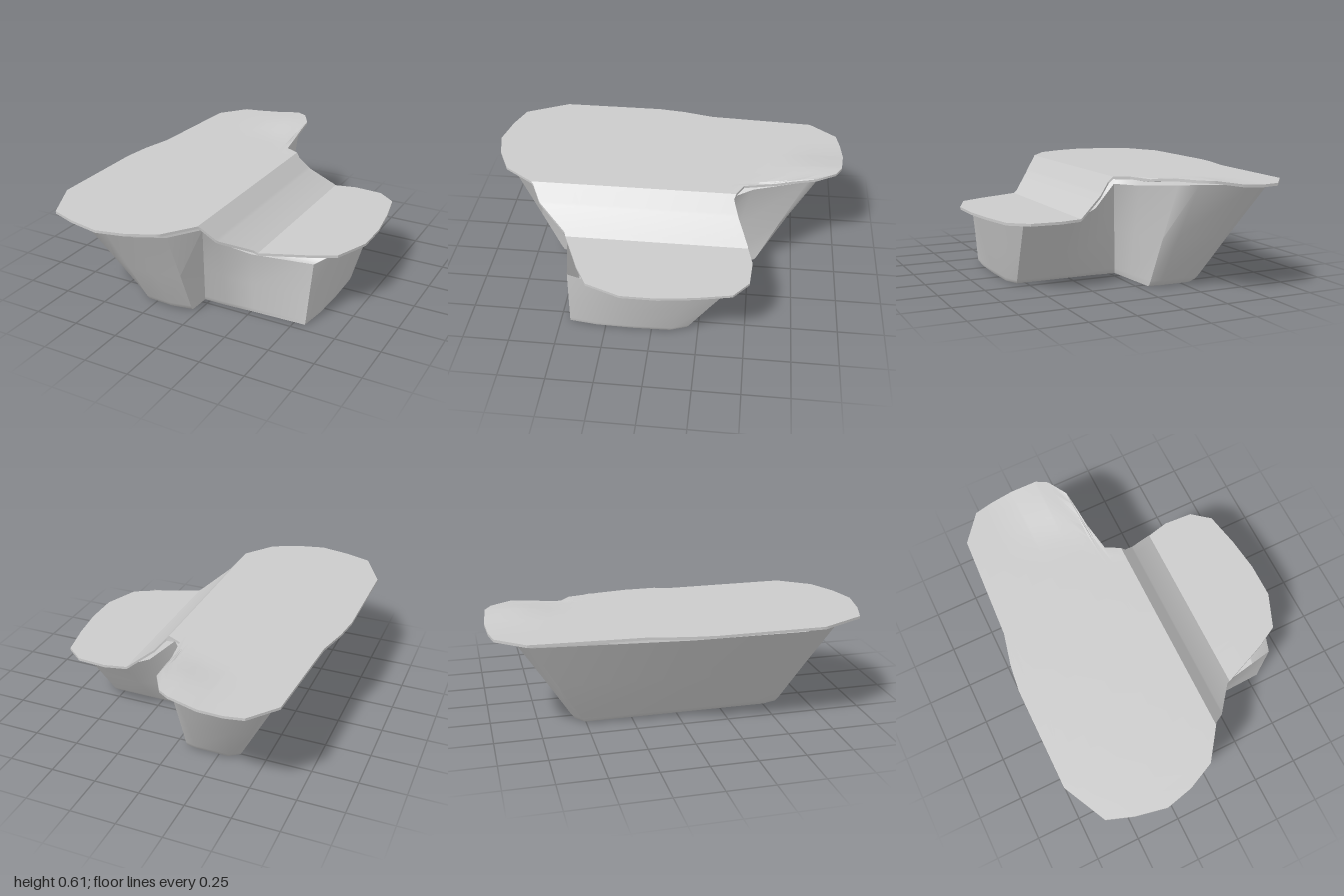
import * as THREE from 'three';
import { toCreasedNormals } from 'three/addons/utils/BufferGeometryUtils.js';

const material = new THREE.MeshStandardMaterial({ color: 0xcccccc, side: THREE.DoubleSide });

// Piecewise linear lookup along a list of [x, value] points
function lookup(line, x) {
  if (x <= line[0][0]) return line[0][1];
  for (let i = 1; i < line.length; i++) {
    const [x0, a] = line[i - 1], [x1, b] = line[i];
    if (x <= x1) return a + (b - a) * (x - x0) / (x1 - x0);
  }
  return line[line.length - 1][1];
}

function makeMesh(name, positions, index, crease) {
  const geometry = new THREE.BufferGeometry();
  geometry.setAttribute('position', new THREE.Float32BufferAttribute(positions, 3));
  geometry.setIndex(index);
  const mesh = new THREE.Mesh(toCreasedNormals(geometry, crease), material);
  mesh.name = name;
  return mesh;
}

// Thin two-level top sheet: columns in x, rows between its back and front edges
function createTopSheet() {
  const back = [[-0.758, 0.1], [-0.74, -0.05], [-0.7, -0.23], [-0.67, -0.82], [-0.55, -0.97], [-0.45, -0.99],
    [-0.32, -1], [-0.17, -0.985], [-0.11, -0.95], [-0.045, -0.84], [-0.02, -0.62], [0.01, -0.45], [0.11, -0.4],
    [0.3, -0.49], [0.43, -0.52], [0.59, -0.51], [0.69, -0.43], [0.73, -0.24], [0.755, -0.05]];
  const front = [[-0.758, 0.67], [-0.64, 0.91], [-0.5, 0.96], [-0.33, 0.995], [-0.18, 0.96], [-0.03, 0.89],
    [0.1, 0.71], [0.16, 0.67], [0.29, 0.51], [0.43, 0.45], [0.55, 0.4], [0.68, 0.33], [0.755, 0.14]];
  const level = [[0.09, 0.578], [0.17, 0.485], [0.31, 0.382]];
  const bump = (x, z) => 0.034 * THREE.MathUtils.smoothstep(-z, 0.55, 0.84)
    * THREE.MathUtils.smoothstep(x, -0.42, -0.14);
  const xs = [...new Set([...back, ...front, ...level].map(p => p[0]))].sort((a, b) => a - b);
  const rows = 24, thickness = 0.014, positions = [], index = [];

  for (const drop of [0, thickness]) {
    for (const x of xs) {
      const z0 = lookup(back, x), z1 = lookup(front, x);
      for (let j = 0; j <= rows; j++) {
        const z = z0 + (z1 - z0) * j / rows;
        positions.push(x, lookup(level, x) + bump(x, z) - drop, z);
      }
    }
  }
  const half = xs.length * (rows + 1);
  const at = (i, j) => i * (rows + 1) + j;
  for (let i = 0; i < xs.length - 1; i++) {
    for (let j = 0; j < rows; j++) {
      const a = at(i, j), b = at(i, j + 1), c = at(i + 1, j + 1), d = at(i + 1, j);
      index.push(a, b, c, a, c, d);
      index.push(a + half, c + half, b + half, a + half, d + half, c + half);
    }
  }
  // Rim joining the two skins
  const rim = [], last = xs.length - 1;
  for (let j = 0; j < rows; j++) rim.push(at(0, j));
  for (let i = 0; i < last; i++) rim.push(at(i, rows));
  for (let j = rows; j > 0; j--) rim.push(at(last, j));
  for (let i = last; i > 0; i--) rim.push(at(i, 0));
  rim.forEach((a, k) => {
    const b = rim[(k + 1) % rim.length];
    index.push(a, a + half, b + half, a, b + half, b);
  });
  return makeMesh('topSheet', positions, index, 0.6);
}

// Tapered base: each entry is foot x, z then head x, y, z
function createBase() {
  const ribs = [
    [-0.3, 0.6, -0.34, 0.535, 0.91], [-0.15, 0.61, -0.17, 0.535, 0.9], [-0.035, 0.59, -0.025, 0.535, 0.83],
    [-0.03, 0.47, 0.085, 0.535, 0.67], [0.1, 0.47, 0.15, 0.455, 0.62], [0.26, 0.46, 0.27, 0.365, 0.5],
    [0.56, 0.45, 0.595, 0.36, 0.44], [0.58, 0.3, 0.64, 0.36, 0.3], [0.585, 0.1, 0.68, 0.36, 0.1],
    [0.58, -0.1, 0.67, 0.36, -0.2], [0.55, -0.18, 0.6, 0.36, -0.43], [0.3, -0.18, 0.35, 0.36, -0.46],
    [0.1, -0.18, 0.2, 0.42, -0.43], [-0.03, -0.19, 0.07, 0.535, -0.38], [-0.045, -0.36, -0.02, 0.535, -0.5],
    [-0.06, -0.53, -0.08, 0.57, -0.8], [-0.12, -0.54, -0.15, 0.58, -0.88], [-0.3, -0.54, -0.45, 0.56, -0.89],
    [-0.35, -0.5, -0.6, 0.535, -0.8], [-0.35, 0, -0.68, 0.535, 0], [-0.35, 0.5, -0.69, 0.535, 0.6],
    [-0.33, 0.57, -0.58, 0.535, 0.82],
  ];
  // Steps up the wall: [sideways share, height share]; the first two round the foot
  const steps = [[0, 0], [0.035, 0.012], [0.09, 0.06], [0.5, 0.49], [1, 1]];
  const positions = [], index = [], n = ribs.length;
  for (const [s, h] of steps) {
    for (const [fx, fz, hx, hy, hz] of ribs) {
      positions.push(fx + (hx - fx) * s, hy * h, fz + (hz - fz) * s);
    }
  }
  for (let r = 0; r < steps.length - 1; r++) {
    for (let i = 0; i < n; i++) {
      const a = r * n + i, b = r * n + (i + 1) % n;
      index.push(a, b, b + n, a, b + n, a + n);
    }
  }
  // Flat underside
  const outline = ribs.map(([x, z]) => new THREE.Vector2(x, z));
  for (const [a, b, c] of THREE.ShapeUtils.triangulateShape(outline, [])) {
    const turn = outline[b].clone().sub(outline[a]).cross(outline[c].clone().sub(outline[a]));
    index.push(...(turn > 0 ? [a, b, c] : [a, c, b]));
  }
  return makeMesh('base', positions, index, 0.75);
}

export function createModel() {
  const group = new THREE.Group();
  group.name = 'twoLevelBlock';
  group.add(createBase(), createTopSheet());
  return group;
}
